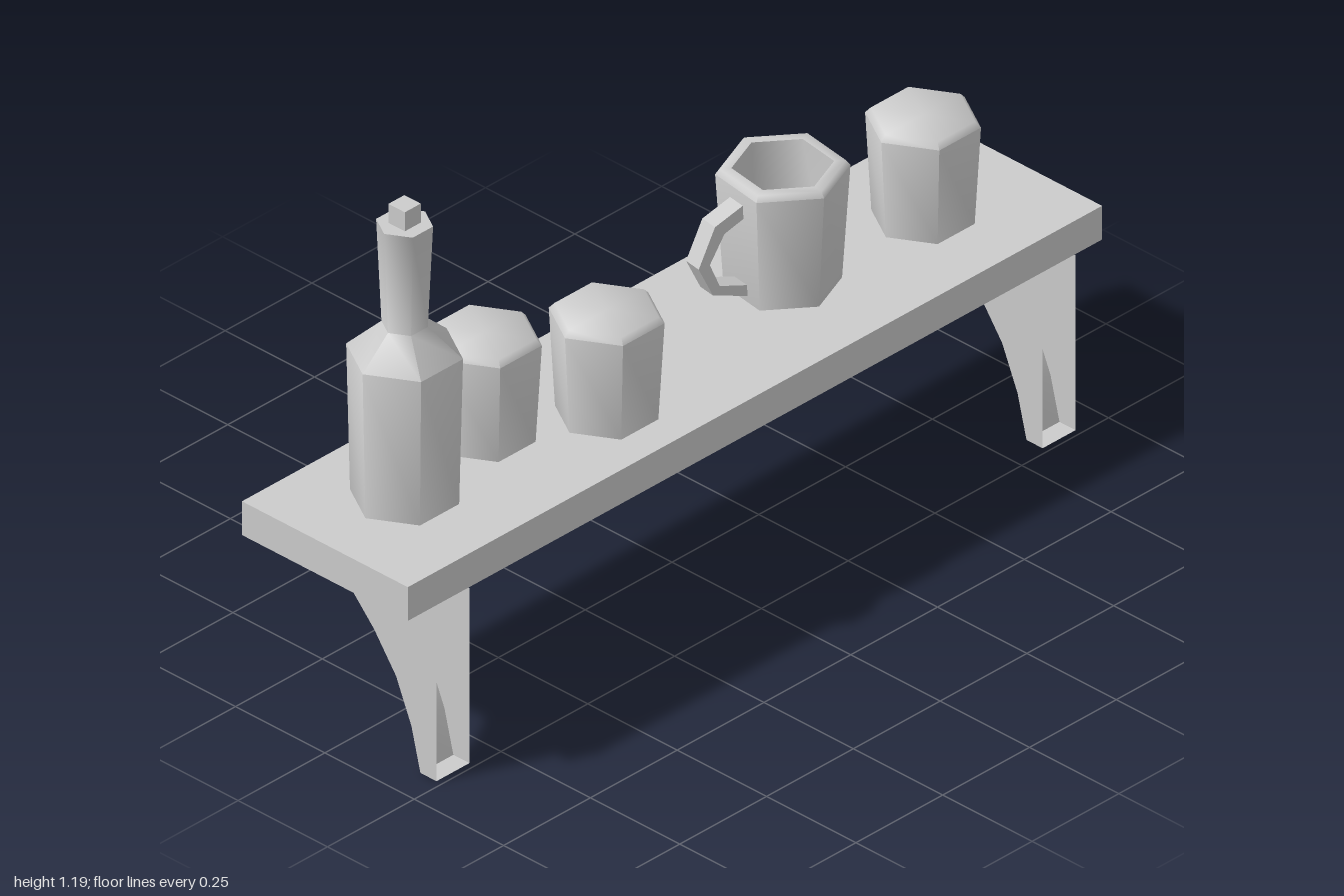
import * as THREE from 'three';
import { toCreasedNormals } from 'three/addons/utils/BufferGeometryUtils.js';

const grey = new THREE.MeshStandardMaterial({ color: 0xcccccc });
const greyOpen = new THREE.MeshStandardMaterial({ color: 0xcccccc, side: THREE.DoubleSide });
const SHELF_BOTTOM = 0.415, SHELF_TOP = 0.495;

function addMesh(parent, name, geometry, x = 0, y = 0, z = 0, material = grey) {
  const mesh = new THREE.Mesh(geometry, material);
  mesh.name = name;
  mesh.position.set(x, y, z);
  parent.add(mesh);
  return mesh;
}

// Six-sided turned body from [radius, height] pairs, smooth around, sharp at square edges
function hexLathe(profile) {
  const points = profile.map(([r, y]) => new THREE.Vector2(r, y));
  return toCreasedNormals(new THREE.LatheGeometry(points, 6), 1.1);
}

// Hollow bracket: two side plates and a curved strip, open on its straight upright edge
function createBracket(name, x) {
  const width = 0.095;
  const profile = [[0.235, 0], [0.19, 0], [0.165, 0.1], [0.122, 0.2], [0.06, 0.285],
    [-0.025, 0.375], [-0.025, SHELF_BOTTOM]];
  const bracket = new THREE.Group();
  bracket.name = name;
  bracket.position.x = x;

  const outline = new THREE.Shape(
    [...profile, [0.235, SHELF_BOTTOM]].map(([z, y]) => new THREE.Vector2(z, y)));
  const plate = new THREE.ShapeGeometry(outline).rotateY(-Math.PI / 2);
  for (const side of [-1, 1]) {
    addMesh(bracket, 'bracketSide', plate, side * width / 2, 0, 0, greyOpen);
  }

  const strip = new THREE.PlaneGeometry(width, 1, 1, profile.length - 1);
  const pos = strip.attributes.position;
  for (let i = 0; i < pos.count; i++) {
    const [z, y] = profile[Math.floor(i / 2)];
    pos.setXYZ(i, pos.getX(i), y, z);
  }
  addMesh(bracket, 'bracketCurve', toCreasedNormals(strip, 0.5), 0, 0, 0, greyOpen);
  return bracket;
}

// Bottle with a square stopper
function createBottle() {
  const bottle = new THREE.Group();
  bottle.name = 'bottle';
  bottle.position.set(-0.76, SHELF_TOP, -0.01);
  const body = hexLathe([[0, 0], [0.113, 0], [0.121, 0.345], [0.048, 0.41], [0.059, 0.65], [0, 0.65]]);
  addMesh(bottle, 'bottleBody', body).rotation.y = Math.PI / 6;
  addMesh(bottle, 'stopper', new THREE.BoxGeometry(0.046, 0.05, 0.046), 0, 0.67, 0);
  return bottle;
}

// Mug with a hollow inside and an angular handle
function createMug() {
  const mug = new THREE.Group();
  mug.name = 'mug';
  mug.position.set(0.35, SHELF_TOP, -0.03);
  mug.rotation.y = -0.149;
  addMesh(mug, 'mugBody', hexLathe([[0, 0], [0.12, 0], [0.137, 0.265], [0.128, 0.277],
    [0.104, 0.277], [0.09, 0.03], [0, 0.03]]));

  const loop = [[-0.1, 0.24], [-0.187, 0.21], [-0.228, 0.125], [-0.192, 0.05], [-0.095, 0.012],
    [-0.095, 0.038], [-0.175, 0.066], [-0.2, 0.125], [-0.163, 0.185], [-0.1, 0.208]];
  const shape = new THREE.Shape(loop.map(([x, y]) => new THREE.Vector2(x, y)));
  const handle = new THREE.ExtrudeGeometry(shape, { depth: 0.042, bevelEnabled: false });
  addMesh(mug, 'mugHandle', handle.translate(0, 0, -0.021));
  return mug;
}

export function createModel() {
  const model = new THREE.Group();
  model.name = 'shelfWithDrinkware';

  // Board and its two brackets
  addMesh(model, 'shelfBoard', new THREE.BoxGeometry(2, SHELF_TOP - SHELF_BOTTOM, 0.464),
    0, (SHELF_TOP + SHELF_BOTTOM) / 2, 0);
  model.add(createBracket('leftBracket', 0.873), createBracket('rightBracket', -0.873));

  model.add(createBottle(), createMug());

  // Closed cups with a bevelled top edge
  const cup = hexLathe([[0, 0], [0.107, 0], [0.12, 0.23], [0.108, 0.243], [0, 0.243]]);
  for (const [x, z] of [[-0.482, -0.058], [-0.25, 0.06], [0.72, 0.003]]) {
    addMesh(model, 'cup', cup, x, SHELF_TOP, z).rotation.y = Math.PI / 6;
  }
  return model;
}
